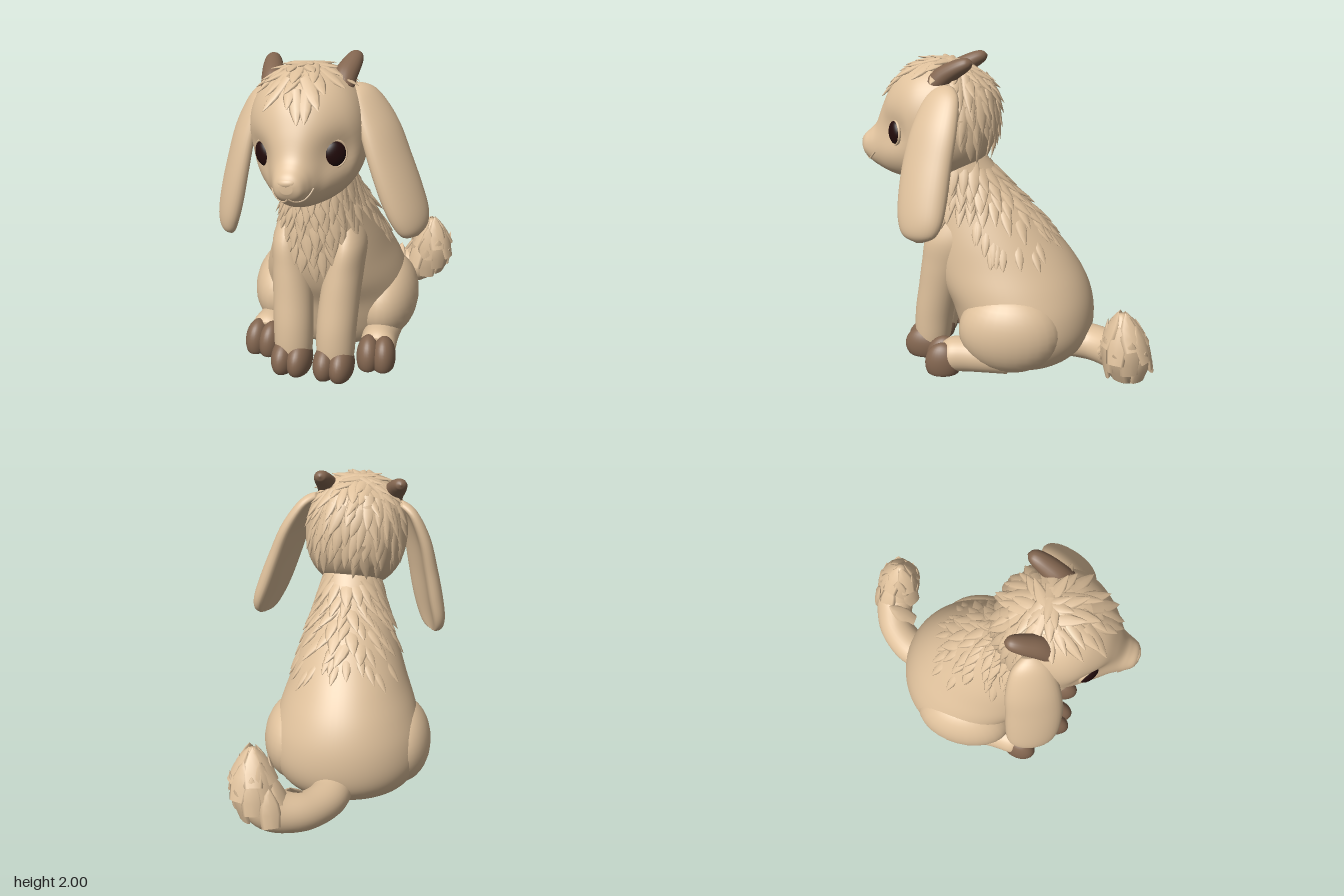
import * as THREE from 'three';
import { mergeGeometries } from 'three/addons/utils/BufferGeometryUtils.js';

const V = (x, y, z) => new THREE.Vector3(x, y, z);
const mat = (name, color) => Object.assign(new THREE.MeshStandardMaterial({ color }), { name });

let seed = 7;
const rand = () => (seed = (seed * 16807) % 2147483647) / 2147483647;

// Catmull-Rom blend of table rows at t in 0..1
function sample(rows, t) {
  const f = t * (rows.length - 1), i = Math.min(Math.floor(f), rows.length - 2), u = f - i;
  const at = (k) => rows[Math.max(0, Math.min(rows.length - 1, k))];
  const [a, b, c, d] = [at(i - 1), at(i), at(i + 1), at(i + 2)];
  return b.map((_, k) => 0.5 * (2 * b[k] + (c[k] - a[k]) * u + (2 * a[k] - 5 * b[k] + 4 * c[k] - d[k]) * u * u
    + (3 * b[k] - a[k] - 3 * c[k] + d[k]) * u * u * u));
}

// Closed skin over oval sections [x, y, z, radius along W, radius along T]; power below 1 squares the oval
function loft(rows, { W = V(1, 0, 0), T = null, steps = 32, sides = 32, shape = Math.sin, power = 1 } = {}) {
  const pos = [], idx = [];
  const centre = (t) => V(...sample(rows, t).slice(0, 3));
  const square = (v) => Math.sign(v) * Math.abs(v) ** power;
  for (let i = 0; i <= steps; i++) {
    const t = i / steps, row = sample(rows, t), c = V(row[0], row[1], row[2]);
    const tan = centre(Math.min(1, t + 0.01)).sub(centre(Math.max(0, t - 0.01))).normalize();
    const w = T ? W : W.clone().addScaledVector(tan, -W.dot(tan)).normalize();
    const v = T || tan.clone().cross(w);
    for (let j = 0; j < sides; j++) {
      const a = (j / sides) * Math.PI * 2;
      const p = c.clone().addScaledVector(w, Math.max(0.003, row[3]) * square(Math.cos(a)))
        .addScaledVector(v, Math.max(0.003, row[4]) * square(shape(a)));
      pos.push(p.x, p.y, p.z);
    }
  }
  for (let i = 0; i < steps; i++) for (let j = 0; j < sides; j++) {
    const a = i * sides + j, b = i * sides + (j + 1) % sides;
    idx.push(a, b, a + sides, b, b + sides, a + sides);
  }
  [0, 1].forEach((end) => {
    const c = centre(end), k = pos.length / 3, s = end * steps * sides;
    pos.push(c.x, c.y, c.z);
    for (let j = 0; j < sides; j++) {
      const a = s + j, b = s + (j + 1) % sides;
      idx.push(...(end ? [k, a, b] : [k, b, a]));
    }
  });
  // Turn the skin outward when its volume comes out negative
  const P = (i) => V(pos[3 * i], pos[3 * i + 1], pos[3 * i + 2]);
  let volume = 0;
  for (let i = 0; i < idx.length; i += 3) volume += P(idx[i]).dot(P(idx[i + 1]).cross(P(idx[i + 2])));
  if (volume < 0) idx.reverse();
  const g = new THREE.BufferGeometry();
  g.setAttribute('position', new THREE.Float32BufferAttribute(pos, 3));
  g.setIndex(idx);
  g.computeVertexNormals();
  return g;
}

function mirrored(geo) {
  const g = geo.clone().scale(-1, 1, 1);
  g.setIndex(Array.from(g.index.array).reverse());
  return g;
}

function add(parent, name, geo, material) {
  const m = new THREE.Mesh(geo, material);
  m.name = name;
  parent.add(m);
  return m;
}

function pair(parent, name, geo, material) {
  add(parent, 'left' + name, geo, material);
  add(parent, 'right' + name, mirrored(geo), material);
}

const ball = (x, y, z, rx, ry, rz) => new THREE.SphereGeometry(1, 28, 20).scale(rx, ry, rz).translate(x, y, z);

// Point and normal where a ray meets a skin
function hit(mesh, origin, dir) {
  const h = new THREE.Raycaster(origin, dir.clone().normalize()).intersectObject(mesh)[0];
  return h && { p: h.point, n: h.face.normal.clone() };
}

// Pointed lock of fur: root sunk into the skin, tip lifting off along the flow
const lock = new THREE.LatheGeometry([[0.42, 0], [0.5, 0.35], [0.42, 0.6], [0.2, 0.85], [0, 1]]
  .map((p) => new THREE.Vector2(...p)), 8);
function tuft({ p, n }, flow, len, width, lift = 0.2, thick = 0.03) {
  const y = flow.clone().addScaledVector(n, -flow.dot(n)).normalize().addScaledVector(n, lift).normalize();
  const x = y.clone().cross(n).normalize(), z = x.clone().cross(y);
  const m = new THREE.Matrix4().makeBasis(x.multiplyScalar(width), y.clone().multiplyScalar(len), z.multiplyScalar(thick));
  m.setPosition(p.clone().addScaledVector(y, -len * 0.5).addScaledVector(n, -0.002));
  return lock.clone().applyMatrix4(m);
}

// Two broad toes with a narrow cleft and flat soles
function hoof(x, z, rx, ry, rz, turn) {
  const toes = [-1, 1].map((s) => ball(s * rx * 0.62, 0.07, 0, rx, ry, rz));
  const g = mergeGeometries(toes), a = g.attributes.position;
  for (let i = 0; i < a.count; i++) a.setY(i, Math.max(0, a.getY(i)));
  g.computeVertexNormals();
  return g.rotateY(turn).translate(x, 0, z);
}

export function createModel() {
  const model = new THREE.Group();
  model.name = 'goatKid';
  seed = 7;
  const coat = mat('tan coat', 0xdfc19c), horn = mat('brown horn', 0x836650), dark = mat('dark eye', 0x220b0b);
  const X = V(1, 0, 0), Y = V(0, 1, 0), Z = V(0, 0, 1);

  // Body: [y, front z, back z, half width]
  const body = add(model, 'body', loft([[0, 0.18, -0.36, 0.3], [0.04, 0.24, -0.46, 0.39], [0.13, 0.29, -0.54, 0.455],
    [0.25, 0.33, -0.57, 0.49], [0.4, 0.38, -0.56, 0.48], [0.55, 0.46, -0.51, 0.44], [0.7, 0.51, -0.42, 0.385],
    [0.85, 0.53, -0.3, 0.335], [1.0, 0.54, -0.17, 0.28], [1.15, 0.54, -0.02, 0.225], [1.25, 0.53, 0.07, 0.2], [1.36, 0.5, 0.16, 0.18]]
    .map(([y, f, b, w]) => [0, y, (f + b) / 2, w, (f - b) / 2]), { W: X, T: Z, steps: 60, sides: 64 }), coat);

  // Ruff on neck and chest, longest at the front and along the spine
  const ruff = [];
  const bodyHit = (y, a) => {
    const d = V(Math.sin(a), 0, Math.cos(a));
    return hit(body, V(0, y, 0.1 + (y - 0.7) * 0.4).addScaledVector(d, 2), d.clone().negate());
  };
  for (let y = 0.7, r = 0; y < 1.27; y += 0.06, r++) for (let k = 0; k < 22; k++) {
    const a = ((k + (r % 2) / 2) / 22) * Math.PI * 2 - Math.PI + (rand() - 0.5) * 0.16, b = Math.abs(a);
    const low = b < 1 ? 0.67 + 0.34 * b : b < 2.3 ? 1.03 : 0.92;
    const h = y > low && bodyHit(y, a);
    if (h) ruff.push(tuft(h, V(Math.sin(a) * 0.1 + (rand() - 0.5) * 0.4, -1, 0), 0.17 + rand() * 0.07, 0.07 + rand() * 0.025));
  }
  for (let i = 0; i < 24; i++) { // scattered locks below the ruff on sides and back
    const a = Math.PI + (rand() - 0.5) * 3, h = bodyHit(0.72 + rand() * 0.26, a);
    if (h) ruff.push(tuft(h, V(0, -1, 0), 0.17, 0.06, 0.15, 0.025));
  }
  add(model, 'ruff', mergeGeometries(ruff), coat);

  // Legs and hooves
  pair(model, 'FrontLeg', loft([[0.137, 0.01, 0.49, 0.09, 0.08], [0.137, 0.12, 0.49, 0.118, 0.115], [0.14, 0.3, 0.475, 0.125, 0.127],
    [0.152, 0.5, 0.435, 0.124, 0.135], [0.17, 0.68, 0.385, 0.118, 0.155], [0.19, 0.85, 0.32, 0.105, 0.185], [0.18, 1.0, 0.25, 0.07, 0.16]],
    { W: X, T: Z }), coat);
  pair(model, 'FrontHoof', hoof(0.137, 0.53, 0.08, 0.125, 0.14, 0), horn);
  pair(model, 'Haunch', ball(0.345, 0.29, -0.06, 0.205, 0.275, 0.33), coat);
  pair(model, 'HindFoot', loft([[0.36, 0.12, -0.05, 0.115, 0.115], [0.36, 0.117, 0.18, 0.115, 0.115],
    [0.37, 0.115, 0.31, 0.112, 0.112], [0.37, 0.11, 0.37, 0.08, 0.085]], { W: X, T: Y }), coat);
  pair(model, 'HindHoof', hoof(0.372, 0.37, 0.077, 0.138, 0.115, 0.12), horn);

  // Tail sweeping round to the left, ending in an upright tuft
  const tail = add(model, 'tail', loft([[0.06, 0.13, -0.42, 0.13, 0.12], [0.1, 0.12, -0.6, 0.125, 0.115], [0.23, 0.125, -0.755, 0.12, 0.12],
    [0.41, 0.17, -0.81, 0.135, 0.135], [0.5, 0.29, -0.8, 0.135, 0.135], [0.515, 0.42, -0.78, 0.105, 0.105], [0.515, 0.55, -0.765, 0.02, 0.02]],
    { W: V(0.6, 0, 0.8), steps: 40 }), coat);
  const tuftLocks = [];
  for (let r = 0; r < 4; r++) for (let k = 0; k < 5; k++) {
    const a = ((k + (r % 2) / 2) / 5) * Math.PI * 2, d = V(Math.sin(a), 0, Math.cos(a));
    const h = hit(tail, V(0.5, 0.24 + r * 0.075, -0.79).addScaledVector(d, 0.6), d.clone().negate());
    if (h) tuftLocks.push(tuft(h, V(0, 1, 0), 0.24, 0.13, 0.08, 0.04));
  }
  add(model, 'tailTuft', mergeGeometries(tuftLocks), coat);

  // Head, tilted a little: [z, top y, bottom y, half width]
  const headGroup = new THREE.Group();
  headGroup.name = 'head';
  const skullGeo = loft([[0.07, 1.63, 1.57, 0.03], [0.09, 1.75, 1.45, 0.14], [0.14, 1.83, 1.36, 0.22],
    [0.22, 1.895, 1.28, 0.28], [0.32, 1.94, 1.22, 0.322], [0.42, 1.955, 1.185, 0.34], [0.52, 1.945, 1.18, 0.335],
    [0.6, 1.915, 1.185, 0.31], [0.67, 1.87, 1.195, 0.265], [0.74, 1.79, 1.212, 0.21], [0.8, 1.67, 1.235, 0.155],
    [0.85, 1.55, 1.262, 0.12], [0.89, 1.5, 1.29, 0.1], [0.93, 1.465, 1.33, 0.075], [0.95, 1.43, 1.37, 0.035]]
    .map(([z, t, b, w]) => [0, (t + b) / 2, z, w, (t - b) / 2]), { W: X, T: Y, steps: 72, sides: 64, power: 0.9 });
  const sp = skullGeo.attributes.position;
  for (let i = 0; i < sp.count; i++) { // eye sockets
    const dx = Math.abs(sp.getX(i)) - 0.22, dy = sp.getY(i) - 1.51;
    if (sp.getZ(i) > 0.5) sp.setZ(i, sp.getZ(i) - 0.06 * Math.exp(-(dx * dx + dy * dy) / 0.012));
  }
  skullGeo.computeVertexNormals();
  const skull = add(headGroup, 'skull', skullGeo, coat);

  // Hair on crown, fringe and back of the head, flowing away from the crown
  const hair = [], mid = V(0, 1.58, 0.4), crown = V(0, 2.02, 0.36);
  for (let e = -0.4, r = 0; e < 1.5; e += 0.19, r++) {
    const count = Math.max(4, Math.round(22 * Math.cos(e)));
    for (let k = 0; k < count; k++) {
      const a = ((k + (r % 2) / 2) / count) * Math.PI * 2 - Math.PI + (rand() - 0.5) * 0.2, b = Math.abs(a);
      if (e < (b < 1.9 ? Math.min(0.9, 0.36 + 0.75 * b) : -0.5)) continue;
      const d = V(Math.sin(a) * Math.cos(e), Math.sin(e), Math.cos(a) * Math.cos(e));
      const h = hit(skull, mid.clone().addScaledVector(d, 2), d.clone().negate());
      const sway = V((rand() - 0.5) * 0.2, 0, 0);
      if (h) hair.push(tuft(h, h.p.clone().sub(crown).add(sway), 0.18 + rand() * 0.07, 0.065 + rand() * 0.025, 0.16));
    }
  }
  add(headGroup, 'hair', mergeGeometries(hair), coat);

  // Eyes with thin lids, facing forward and outward
  const face = (x, y) => hit(skull, V(x, y, 3), V(0, 0, -1)).p;
  const seat = new THREE.Matrix4().makeRotationY(0.66).setPosition(face(0.21, 1.51));
  pair(headGroup, 'Eye', ball(0, 0, 0, 0.066, 0.073, 0.034).applyMatrix4(seat), dark);
  pair(headGroup, 'Eyelid', new THREE.TorusGeometry(1, 0.1, 8, 32).scale(0.07, 0.077, 0.1).applyMatrix4(seat), coat);

  // Nose and smiling mouth
  add(headGroup, 'nose', ball(0, 1.425, 0.915, 0.06, 0.032, 0.038), coat);
  const line = (pts) => new THREE.TubeGeometry(new THREE.CatmullRomCurve3(pts.map(([x, y]) => face(x, y))), 20, 0.006, 6);
  pair(headGroup, 'Mouth', line([[0, 1.335], [0.03, 1.312], [0.07, 1.312], [0.1, 1.335], [0.12, 1.365]]), coat);

  // Long drooping ears, cupped on the inner side
  const cup = (a) => { const s = Math.sin(a); return s > 0 ? s * (1 - 0.9 * s * s) : s; };
  pair(headGroup, 'Ear', loft([[0.26, 1.8, 0.34, 0.05, 0.03], [0.32, 1.74, 0.36, 0.12, 0.055], [0.4, 1.57, 0.39, 0.16, 0.075],
    [0.46, 1.37, 0.42, 0.172, 0.085], [0.515, 1.18, 0.435, 0.172, 0.09], [0.56, 1.04, 0.44, 0.155, 0.08],
    [0.585, 0.96, 0.44, 0.11, 0.055], [0.595, 0.925, 0.44, 0.02, 0.01]], { W: V(-0.42, 0, 0.9), steps: 40, shape: cup }), coat);

  // Short swept-back horns
  pair(headGroup, 'Horn', loft([[0.205, 1.81, 0.43, 0.07, 0.065], [0.215, 1.865, 0.37, 0.07, 0.065], [0.235, 1.91, 0.3, 0.062, 0.055],
    [0.25, 1.94, 0.24, 0.05, 0.045], [0.256, 1.95, 0.205, 0.033, 0.03], [0.258, 1.953, 0.187, 0.004, 0.004]], { W: X, sides: 20 }), horn);

  const tilt = 0.09;
  headGroup.rotation.z = tilt;
  headGroup.position.set(1.45 * Math.sin(tilt) - 0.015, 1.45 * (1 - Math.cos(tilt)), 0);
  model.add(headGroup);
  return model;
}
